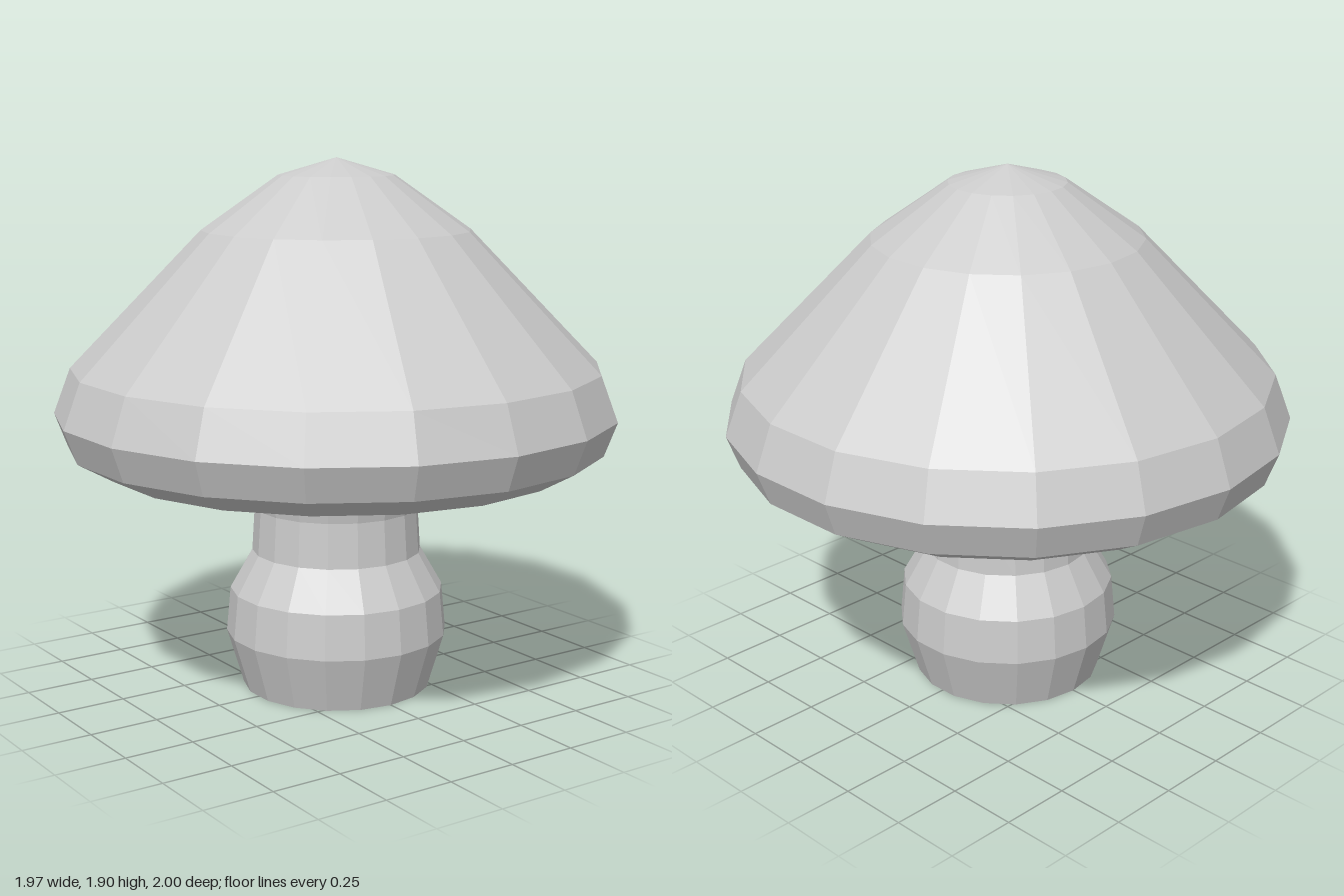
import * as THREE from 'three';

const SIDES = 18;

// Faceted solid of revolution from [radius, height] pairs, listed so faces point outward
function turned(name, profile) {
  const points = profile.map(([r, y]) => new THREE.Vector2(r, y));
  const material = new THREE.MeshStandardMaterial({
    color: 0xcccccc, flatShading: true, side: THREE.DoubleSide,
  });
  const mesh = new THREE.Mesh(new THREE.LatheGeometry(points, SIDES), material);
  mesh.name = name;
  return mesh;
}

export function createModel() {
  const group = new THREE.Group();
  group.name = 'mushroom';

  // Stem: open at the foot, bulging low, flaring out under the cap
  group.add(turned('stem', [
    [0.34, 0], [0.4, 0.2], [0.385, 0.36], [0.305, 0.5],
    [0.295, 0.66], [0.32, 0.8], [0.4, 0.88],
  ]));

  // Cap: hollowed underside, rounded rim, then the cone up to the tip
  group.add(turned('cap', [
    [0, 0.91], [0.4, 0.885], [0.65, 0.805], [0.83, 0.82], [0.955, 0.89],
    [1, 1.01], [0.94, 1.17], [0.475, 1.65], [0.205, 1.84], [0, 1.9],
  ]));

  return group;
}
